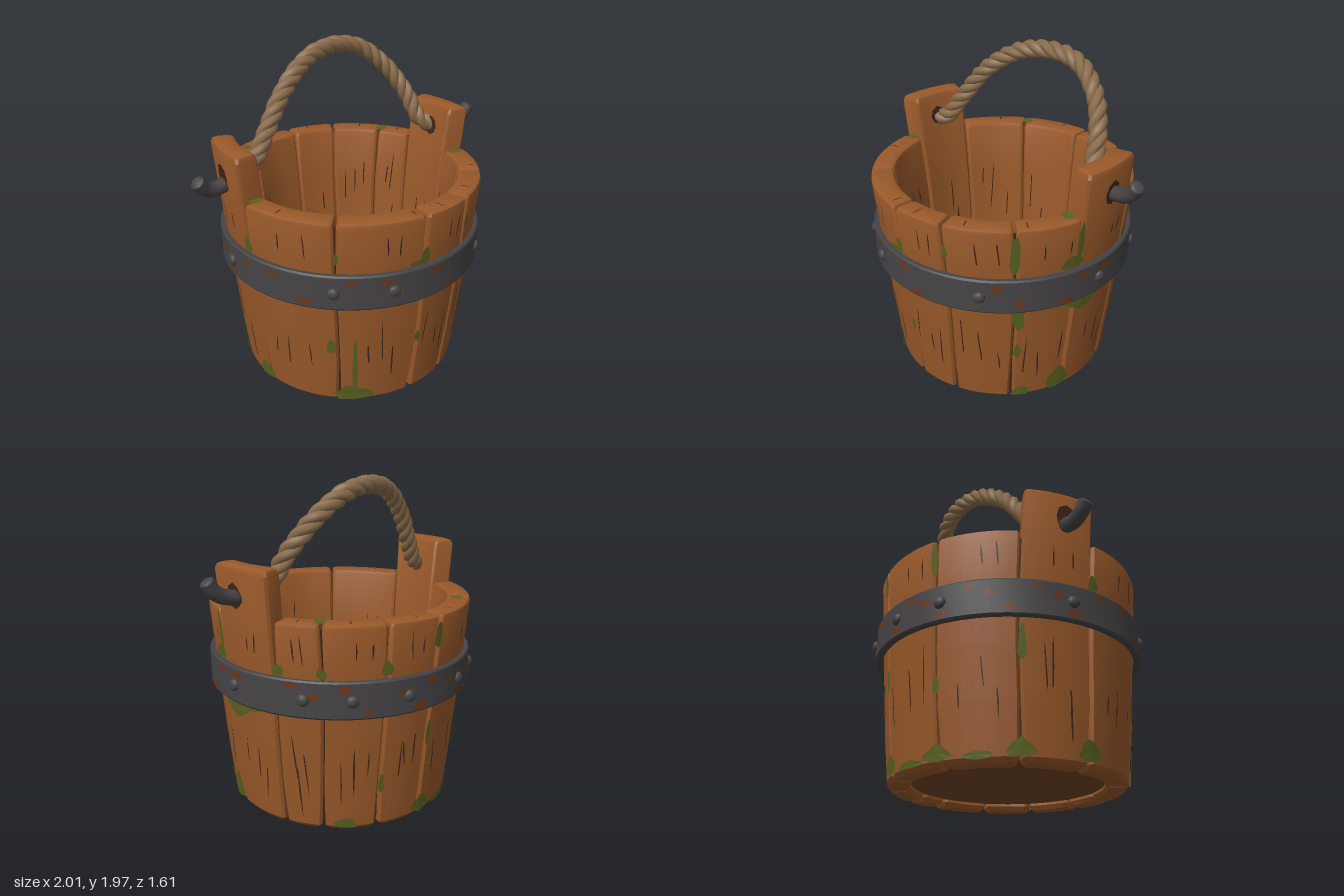
import * as THREE from 'three';
import { mergeGeometries, toCreasedNormals } from 'three/addons/utils/BufferGeometryUtils.js';

const mat = (name, color, side = THREE.FrontSide) => {
  const m = new THREE.MeshStandardMaterial({ color, side });
  m.name = name;
  return m;
};
const DEG = Math.PI / 180;
const outerR = y => 0.687 + 0.09 * y;      // tapering outside of the bucket
const innerR = y => outerR(y) - 0.145;
const BAND_R = 0.803;

let seed = 7;
const rnd = () => (seed = (seed * 16807) % 2147483647) / 2147483647;
const range = (a, b) => a + (b - a) * rnd();

// Seams between staves, in degrees from +x towards +z
const seams = [-20, 10.5, 38, 67, 90.5, 128, 169, 200.5, 236, 270, 294, 320];
const count = seams.length;
const seamAngle = (k, y) => {
  const i = k % count;
  return (seams[i] + (k >= count ? 360 : 0)) * DEG + 0.012 * Math.sin(i * 7 + y * 4);
};

// One stave: a bevelled ring sector swept up through rows
function staveGeometry(k, top) {
  const corner = top > 1.4 ? 0.035 : 0.022;
  const rows = [[0, 0.025], [0.025, 0.006], [0.3, 0], [0.6, 0], [0.9, 0], [top - corner, 0.003],
    [top - corner * 0.3, corner * 0.4], [top, corner]];
  const loops = rows.map(([y, d]) => {
    const R = outerR(y) - d, r = innerR(y) + d, c = 0.013;
    const a0 = seamAngle(k, y) + 0.006 + d / R, a1 = seamAngle(k + 1, y) - 0.006 - d / R;
    const pts = [[R - c, a0]];
    for (let i = 0; i <= 6; i++) pts.push([R, a0 + c / R + (a1 - a0 - 2 * c / R) * i / 6]);
    pts.push([R - c, a1], [r + c, a1]);
    for (let i = 4; i >= 0; i--) pts.push([r, a0 + c / r + (a1 - a0 - 2 * c / r) * i / 4]);
    pts.push([r + c, a0]);
    return pts.map(([q, a]) => [q * Math.cos(a), y, q * Math.sin(a)]);
  });
  const n = loops[0].length, last = loops.length - 1, pos = [];
  const centre = l => [0, 1, 2].map(j => l.reduce((s, p) => s + p[j], 0) / n);
  const c0 = centre(loops[0]), c1 = centre(loops[last]);
  for (let i = 0; i < n; i++) {
    const m = (i + 1) % n;
    for (let j = 0; j < last; j++) {
      const a = loops[j][i], b = loops[j + 1][i], c = loops[j + 1][m], d = loops[j][m];
      pos.push(...a, ...b, ...d, ...b, ...c, ...d);
    }
    pos.push(...c0, ...loops[0][i], ...loops[0][m], ...c1, ...loops[last][m], ...loops[last][i]);
  }
  const g = new THREE.BufferGeometry();
  g.setAttribute('position', new THREE.Float32BufferAttribute(pos, 3));
  return toCreasedNormals(g, 0.5);
}

// Thin irregular patch; place(u, v) maps its outline on to a surface, taper widens the foot
function patchGeometry(place, w, h, { n = 9, rough = 0.3, taper = 0 } = {}) {
  const pos = [], rim = [];
  for (let i = 0; i < n; i++) {
    const t = i / n * Math.PI * 2, s = 1 - rough * rnd();
    rim.push(place(Math.cos(t) * w / 2 * s * (1 - taper * Math.sin(t)), Math.sin(t) * h / 2 * s));
  }
  for (let i = 0; i < n; i++) pos.push(...place(0, 0), ...rim[(i + 1) % n], ...rim[i]);
  const g = new THREE.BufferGeometry();
  g.setAttribute('position', new THREE.Float32BufferAttribute(pos, 3));
  g.computeVertexNormals();
  return g;
}
// Wrap on to the wall (radius from height) or lay flat on the rim
const onWall = (deg, y, radius, lean = 0) => (u, v) => {
  const r = radius(y + v), a = deg * DEG + (u + lean * v) / r;
  return [r * Math.cos(a), y + v, r * Math.sin(a)];
};
const onRim = (deg, radius) => (u, v) => {
  const r = radius + v, a = deg * DEG + u / r;
  return [r * Math.cos(a), 1.254, r * Math.sin(a)];
};

export function createModel() {
  const root = new THREE.Group();
  root.name = 'bucket';
  const wood = mat('wood', 0x99592a), dark = mat('darkWood', 0x40251a, THREE.DoubleSide);
  const floorWood = mat('floorWood', 0x533122), underWood = mat('undersideWood', 0x744427);
  const iron = mat('iron', 0x464446), rust = mat('rust', 0x6a371d, THREE.DoubleSide);
  const moss = mat('moss', 0x596120, THREE.DoubleSide), ropeMat = mat('rope', 0x8a6c4b);
  const add = (name, geometry, material, parent = root) => {
    const m = new THREE.Mesh(geometry, material);
    m.name = name;
    parent.add(m);
    return m;
  };

  // Staves, two of them raised into ears
  const staves = new THREE.Group();
  staves.name = 'staves';
  root.add(staves);
  for (let k = 0; k < count; k++) {
    const ear = k === 0 || k === 6;
    add(ear ? 'earStave' : 'stave', staveGeometry(k, ear ? 1.52 : 1.25), wood, staves);
  }
  // Dark core seen through the seams
  add('seamCore', new THREE.CylinderGeometry(outerR(1.22) - 0.04, outerR(0.04) - 0.04, 1.18, 48, 1, true), dark)
    .position.y = 0.63;

  // Floor with its own underside
  add('floor', new THREE.CylinderGeometry(0.575, 0.565, 0.07, 40), floorWood).position.y = 0.085;
  add('underside', new THREE.CylinderGeometry(0.565, 0.565, 0.01, 40), underWood).position.y = 0.045;

  // Iron hoop and rivets
  const hoop = [[0.762, 0.735], [0.795, 0.73], [BAND_R, 0.74], [BAND_R, 0.935], [0.795, 0.945], [0.768, 0.942], [0.762, 0.735]];
  add('hoop', toCreasedNormals(new THREE.LatheGeometry(hoop.map(p => new THREE.Vector2(...p)), 56), 0.5), iron);
  const rivetShape = new THREE.SphereGeometry(0.036, 10, 6, 0, Math.PI * 2, 0, Math.PI / 2);
  rivetShape.scale(1, 0.7, 1).rotateZ(-Math.PI / 2);
  for (const deg of [0, 52, 105, 129, 180, 232, 255, 285, 308, 327]) {
    const rivet = add('rivet', rivetShape, iron);
    rivet.position.set(BAND_R * Math.cos(deg * DEG), 0.838, BAND_R * Math.sin(deg * DEG));
    rivet.rotation.y = -deg * DEG;
  }

  // Rust spots on the hoop: angle and height
  const rustSpots = [[154, 0.9], [141, 0.775], [122, 0.9], [108, 0.895], [86, 0.905], [79, 0.765], [45, 0.9],
    [36, 0.8], [17, 0.765], [9, 0.9], [-2, 0.9], [-28, 0.915], [-37, 0.86], [-49, 0.9], [-58, 0.77]];
  for (let i = 0; i < 15; i++) rustSpots.push([170 + i * 8.5 + range(-2, 2), [0.9, 0.77, 0.86][i % 3]]);
  add('rustSpots', mergeGeometries(rustSpots.map(([deg, y]) =>
    patchGeometry(onWall(deg, y, () => BAND_R + 0.004, range(-1, 1)), range(0.06, 0.12), range(0.04, 0.055),
      { n: 10, rough: 0.22 }))), rust);

  // Moss on the walls: angle, height, width, length
  const outside = y => outerR(y) + 0.005;
  const wallMoss = [[38, 1.1, 0.07, 0.3], [36, 0.65, 0.08, 0.18], [36, 0.4, 0.05, 0.12], [66, 1.09, 0.04, 0.1],
    [90.5, 1, 0.07, 0.14], [94, 0.965, 0.12, 0.04], [90, 0.43, 0.04, 0.1], [128, 1.04, 0.03, 0.09],
    [131, 0.43, 0.06, 0.13], [120, 0.27, 0.035, 0.45], [10.5, 1.11, 0.05, 0.28], [13, 0.99, 0.17, 0.1],
    [-22, 0.98, 0.08, 0.09], [-40, 0.98, 0.08, 0.07], [169, 0.99, 0.08, 0.14], [200, 0.6, 0.05, 0.24],
    [236, 1.12, 0.05, 0.24], [236, 0.42, 0.05, 0.13], [270, 1.14, 0.06, 0.18], [270, 0.55, 0.04, 0.18],
    [294, 1, 0.08, 0.1], [294, 0.3, 0.04, 0.15]];
  const mossParts = wallMoss.map(([deg, y, w, h]) => patchGeometry(onWall(deg, y, outside), w, h, { n: 12, taper: 0.2 }));
  // Moss creeping up from the foot, hanging under the hoop and lying on the rim
  for (const [deg, w, h] of [[34, 0.12, 0.1], [121, 0.25, 0.13], [14, 0.15, 0.22], [-50, 0.14, 0.08],
    [169, 0.16, 0.14], [200, 0.17, 0.12], [218, 0.18, 0.05], [236, 0.18, 0.11], [252, 0.2, 0.05], [270, 0.16, 0.13]])
    mossParts.push(patchGeometry(onWall(deg, h / 2 + 0.01, outside), w, h, { n: 12, taper: 0.5 }));
  for (const [deg, w, h] of [[5, 0.3, 0.14], [-7, 0.2, 0.07], [36, 0.1, 0.1]])
    mossParts.push(patchGeometry(onWall(deg, 0.75 - h / 2, outside), w, h, { n: 12, taper: -0.5 }));
  for (const deg of [14, 168, 237, 321]) mossParts.push(patchGeometry(onRim(deg, 0.72), 0.08, 0.11));
  add('mossPatches', mergeGeometries(mossParts), moss);

  // Grain cracks outside, inside and on the rim
  const cracks = [];
  const inside = y => innerR(y) - 0.004;
  const crack = (place, w, h) => cracks.push(patchGeometry(place, w, h, { n: 8, rough: 0.5 }));
  for (let k = 0; k < count; k++) {
    const a0 = seamAngle(k, 0.6) / DEG + 4, a1 = seamAngle(k + 1, 0.6) / DEG - 4;
    for (let i = 0; i < 3; i++) {
      const a = a0 + (a1 - a0) * (i + rnd()) / 3, lean = range(-0.1, 0.1);
      crack(onWall(a, range(0.25, 0.5), outside, lean), 0.013, range(0.18, 0.42));
      if (i < 2) crack(onWall(a, 1.1, outside, lean), 0.012, range(0.1, 0.22));
      crack(onWall(a, range(0.4, 1), inside, lean), 0.012, range(0.15, 0.4));
    }
    if (k % 6) crack(onRim(range(a0, a1), 0.74), 0.01, 0.08);
  }
  // Sockets around the hooks and the rope ends
  for (const deg of [-3.5, 182]) {
    cracks.push(patchGeometry(onWall(deg, 1.355, outside), 0.13, 0.16, { n: 8, rough: 0.15 }));
    cracks.push(patchGeometry(onWall(deg, 1.37, inside), 0.12, 0.13, { n: 8, rough: 0.15 }));
  }
  add('cracks', mergeGeometries(cracks), dark);

  // Bent iron hooks through the ears
  const curve = pts => new THREE.CatmullRomCurve3(pts.map(p => new THREE.Vector3(...p)));
  const hooks = [
    [[-0.66, 1.35, -0.04], [-0.78, 1.315, -0.03], [-0.87, 1.297, -0.02], [-0.93, 1.32, -0.01], [-0.968, 1.365, 0]],
    [[0.68, 1.35, -0.06], [0.8, 1.35, -0.06], [0.88, 1.365, -0.05], [0.935, 1.4, -0.045], [0.968, 1.45, -0.04]]];
  for (const pts of hooks) {
    const path = curve(pts), hook = new THREE.Group();
    hook.name = 'hook';
    root.add(hook);
    add('hookBar', new THREE.TubeGeometry(path, 14, 0.044, 9), iron, hook);
    const tip = add('hookTip', new THREE.SphereGeometry(0.044, 9, 6), iron, hook);
    tip.scale.y = 0.4;
    tip.position.copy(path.getPoint(1));
    tip.quaternion.setFromUnitVectors(new THREE.Vector3(0, 1, 0), path.getTangent(1));
  }

  // Rope handle: three strands twisted around a sagging arch
  const arch = curve([[-0.7, 1.34, -0.04], [-0.6, 1.385, -0.07], [-0.5, 1.52, -0.11], [-0.33, 1.74, -0.18],
    [-0.12, 1.88, -0.26], [0.1, 1.915, -0.32], [0.3, 1.87, -0.33], [0.46, 1.74, -0.28], [0.56, 1.58, -0.2],
    [0.62, 1.41, -0.11], [0.71, 1.35, -0.06]]);
  const steps = 140, frames = arch.computeFrenetFrames(steps), rope = new THREE.Group();
  rope.name = 'ropeHandle';
  root.add(rope);
  for (let s = 0; s < 3; s++) {
    const pts = [];
    for (let i = 0; i <= steps; i++) {
      const t = i / steps * Math.PI * 2 * 8 + s * Math.PI * 2 / 3;
      pts.push(arch.getPointAt(i / steps)
        .addScaledVector(frames.normals[i], 0.025 * Math.cos(t))
        .addScaledVector(frames.binormals[i], 0.025 * Math.sin(t)));
    }
    add('ropeStrand', new THREE.TubeGeometry(new THREE.CatmullRomCurve3(pts), 180, 0.031, 7), ropeMat, rope);
  }
  return root;
}
